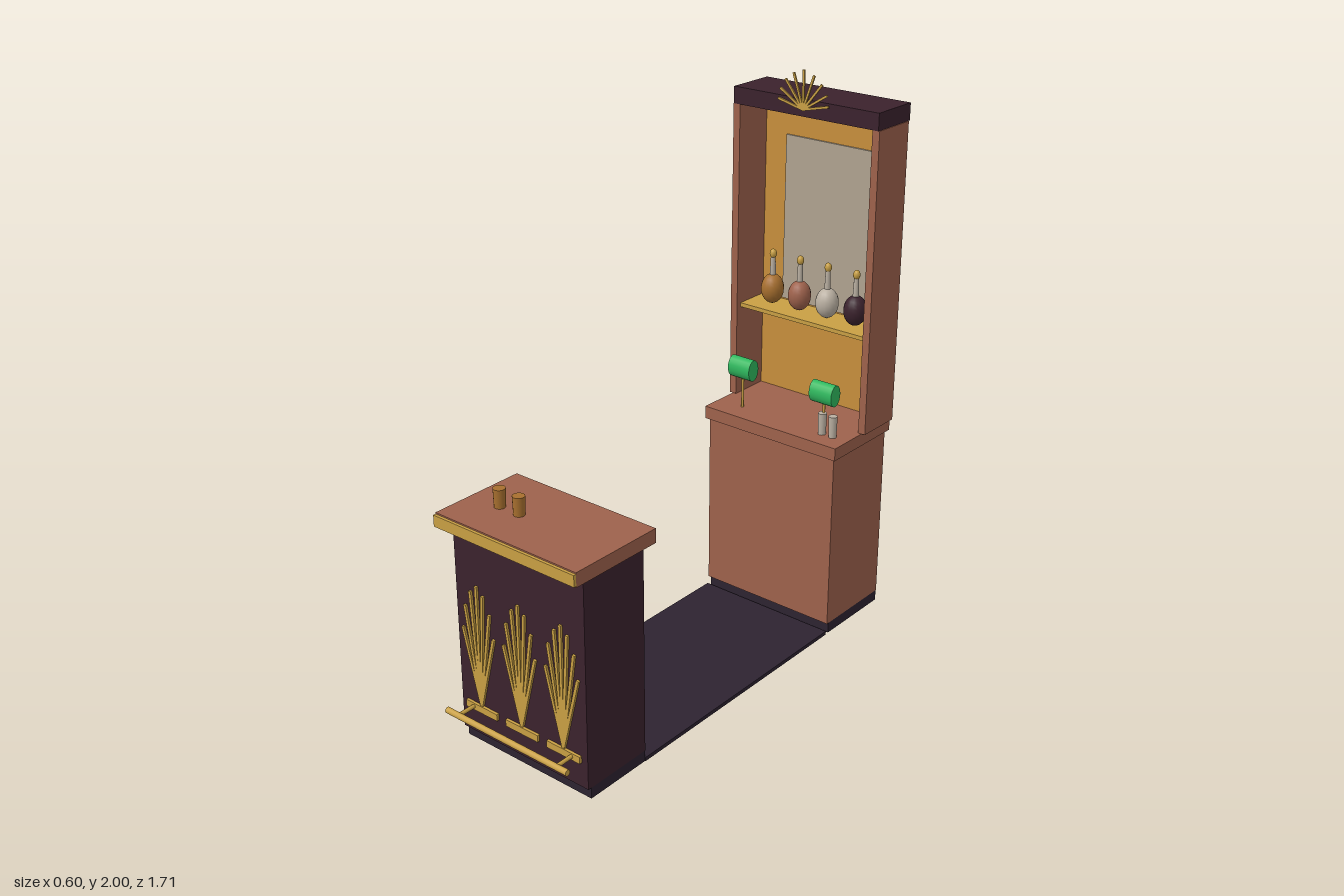
import * as THREE from 'three';

const mat = (name, color) => {
  const m = new THREE.MeshStandardMaterial({ color });
  m.name = name;
  return m;
};

export function createModel() {
  const plum = mat('plum lacquer', 0x3b222d);
  const dark = mat('dark floor', 0x2d2331);
  const wood = mat('warm wood', 0x9e624c);
  const gold = mat('gold', 0xc9a044);
  const panel = mat('amber panel', 0xc88f3c);
  const amber = mat('amber glass', 0xa8702f);
  const mirror = mat('mirror', 0xb0a390);
  const cream = mat('cream glass', 0xbab0a2);
  const green = mat('green shade', 0x2fb85e);

  const root = new THREE.Group();
  root.name = 'bar';

  const group = (name, parent = root) => {
    const g = new THREE.Group();
    g.name = name;
    parent.add(g);
    return g;
  };
  const add = (parent, name, geo, material, x = 0, y = 0, z = 0) => {
    const m = new THREE.Mesh(geo, material);
    m.name = name;
    m.position.set(x, y, z);
    parent.add(m);
    return m;
  };
  // Box given by its extents on each axis
  const box = (parent, name, material, x0, x1, y0, y1, z0, z1) =>
    add(parent, name, new THREE.BoxGeometry(x1 - x0, y1 - y0, z1 - z0), material,
      (x0 + x1) / 2, (y0 + y1) / 2, (z0 + z1) / 2);
  // Flat ray growing from a base point, leaning by an angle
  const ray = (parent, name, x, y, z, length, angle, width, depth) => {
    const geo = new THREE.BoxGeometry(width, length, depth);
    geo.translate(0, length / 2, 0);
    add(parent, name, geo, gold, x, y, z).rotation.z = -angle;
  };

  // Floor between the two counters
  box(root, 'floor', dark, -0.275, 0.275, 0, 0.014, -0.515, 0.49);

  // Front bar
  const bar = group('frontBar');
  box(bar, 'plinth', dark, -0.273, 0.273, 0, 0.042, 0.49, 0.745);
  box(bar, 'body', plum, -0.275, 0.275, 0.042, 0.79, 0.49, 0.76);
  box(bar, 'counterTop', wood, -0.295, 0.295, 0.79, 0.84, 0.455, 0.81);
  box(bar, 'goldTrim', gold, -0.295, 0.295, 0.795, 0.835, 0.81, 0.82);

  // Leaf fans on the bar front
  const leaves = [[0, 0.44], [0.066, 0.415], [0.15, 0.36], [0.245, 0.28]];
  for (const x of [-0.18, 0, 0.18]) {
    const fan = group('fan', bar);
    box(fan, 'fanBase', gold, x - 0.07, x + 0.07, 0.132, 0.157, 0.76, 0.77);
    for (const [angle, length] of leaves)
      for (const side of angle ? [-1, 1] : [1])
        ray(fan, 'fanRay', x, 0.16, 0.765, length, side * angle, 0.011, 0.008);
  }

  // Foot rail with brackets
  const rail = group('footRail', bar);
  add(rail, 'railTube', new THREE.CylinderGeometry(0.011, 0.011, 0.53, 12), gold, 0, 0.145, 0.839)
    .rotation.z = Math.PI / 2;
  for (const x of [-0.215, 0.215])
    add(rail, 'railBracket', new THREE.CylinderGeometry(0.007, 0.007, 0.08, 8), gold, x, 0.145, 0.8)
      .rotation.x = Math.PI / 2;

  // Tumblers on the bar
  for (const x of [-0.17, -0.086])
    add(bar, 'tumbler', new THREE.CylinderGeometry(0.021, 0.019, 0.065, 14), amber, x, 0.8725, 0.655);

  // Back cabinet
  const cabinet = group('backCabinet');
  box(cabinet, 'plinth', dark, -0.273, 0.273, 0, 0.042, -0.84, -0.532);
  box(cabinet, 'body', wood, -0.275, 0.275, 0.042, 0.705, -0.84, -0.52);
  box(cabinet, 'counterTop', wood, -0.287, 0.287, 0.705, 0.752, -0.85, -0.508);

  // Tall display above the cabinet
  const display = group('display');
  for (const s of [-1, 1])
    add(display, 'sidePanel', new THREE.BoxGeometry(0.028, 1.088, 0.175), wood, s * 0.287, 1.296, -0.757);
  box(display, 'backPanel', panel, -0.273, 0.273, 0.752, 1.84, -0.845, -0.825);
  box(display, 'mirror', mirror, -0.18, 0.18, 1.112, 1.72, -0.825, -0.818);
  box(display, 'shelf', gold, -0.273, 0.273, 1.09, 1.105, -0.825, -0.69);
  box(display, 'cornice', plum, -0.298, 0.298, 1.84, 1.9, -0.855, -0.667);

  // Sunburst crest
  const crest = group('sunburst', display);
  for (let i = -4; i <= 4; i++)
    ray(crest, 'sunRay', 0, 1.866, -0.66, 0.134 - 0.007 * Math.abs(i), i * 0.335, 0.008, 0.006);

  // Bottles on the shelf
  [amber, wood, cream, plum].forEach((material, i) => {
    const bottle = group('bottle', display);
    bottle.position.set(-0.18 + i * 0.12, 1.105, -0.757);
    add(bottle, 'bottleBody', new THREE.SphereGeometry(0.042, 16, 12), material, 0, 0.06, 0).scale.y = 1.32;
    add(bottle, 'bottleNeck', new THREE.CylinderGeometry(0.009, 0.012, 0.075, 10), cream, 0, 0.143, 0);
    add(bottle, 'stopper', new THREE.SphereGeometry(0.013, 10, 8), gold, 0, 0.191, 0).scale.y = 1.35;
  });

  // Desk lamps with oval shades
  for (const x of [-0.18, 0.178]) {
    const lamp = group('lamp', cabinet);
    add(lamp, 'lampStem', new THREE.CylinderGeometry(0.005, 0.005, 0.13, 8), gold, x, 0.815, -0.59);
    const shade = new THREE.CylinderGeometry(0.04, 0.04, 0.094, 20);
    shade.rotateZ(Math.PI / 2);
    shade.scale(1, 1, 0.72);
    add(lamp, 'lampShade', shade, green, x, 0.905, -0.59);
  }

  // Pale glasses on the cabinet
  for (const x of [0.178, 0.223])
    add(cabinet, 'glass', new THREE.CylinderGeometry(0.016, 0.014, 0.08, 12), cream, x, 0.792, -0.583);

  return root;
}
